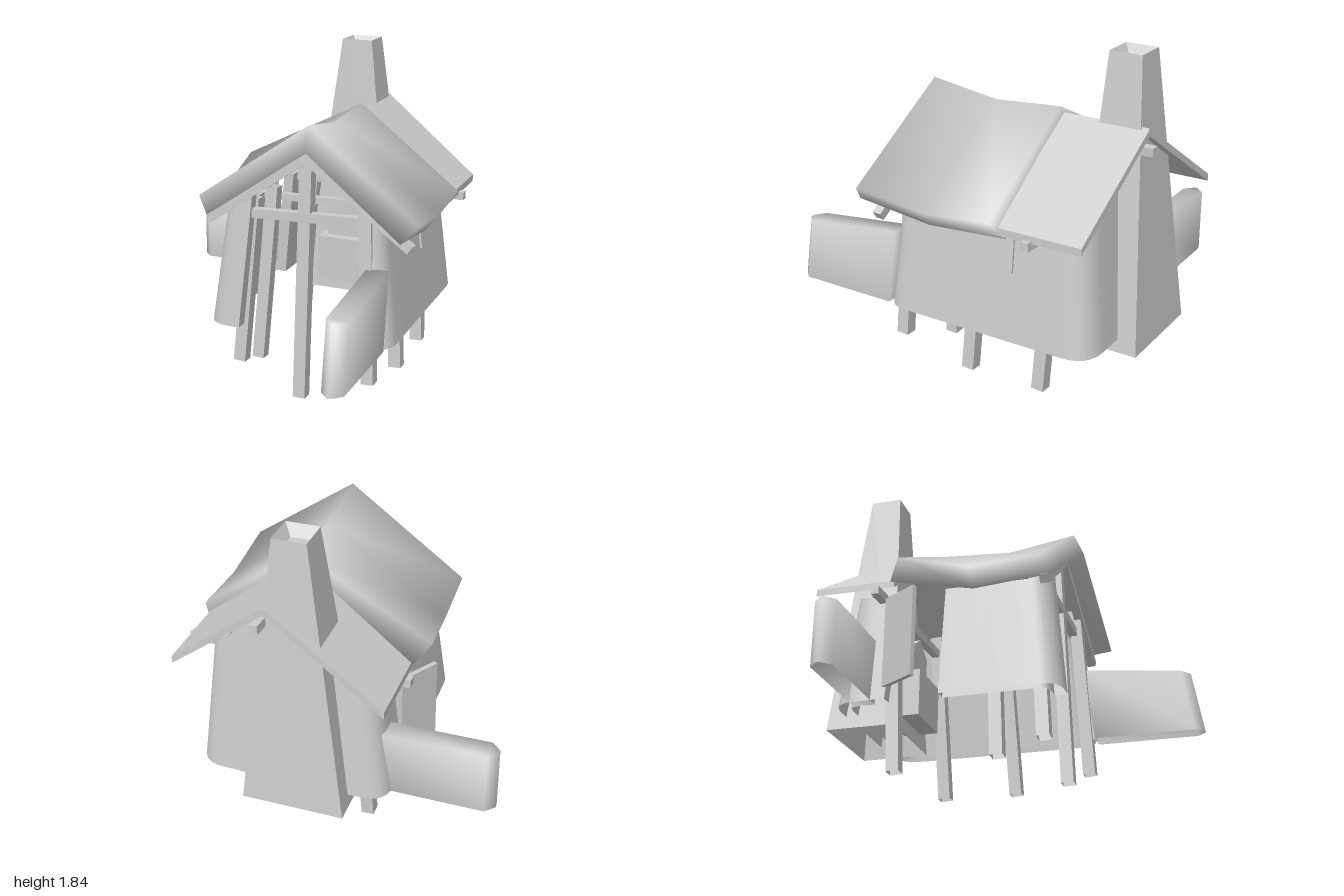
import * as THREE from 'three';
import { toCreasedNormals } from 'three/addons/utils/BufferGeometryUtils.js';

const material = new THREE.MeshStandardMaterial({ color: 0xcccccc, side: THREE.DoubleSide });

function addMesh(parent, name, geometry) {
  const mesh = new THREE.Mesh(geometry, material);
  mesh.name = name;
  parent.add(mesh);
  return mesh;
}

// Skins a row of equal rings (clockwise when looking along the row). An open ring leaves
// its last side, the underside, unskinned; caps close both ends of the row.
function loft(rings, { crease = 0.6, open = false, caps = true } = {}) {
  const n = rings[0].length, last = (rings.length - 1) * n, index = [];
  const quad = (a, b, c, d) => index.push(a, b, c, a, c, d);
  for (let i = 0; i < rings.length - 1; i++)
    for (let j = 0; j < (open ? n - 1 : n); j++) {
      const k = (j + 1) % n;
      quad(i * n + j, i * n + k, (i + 1) * n + k, (i + 1) * n + j);
    }
  if (caps)
    for (let j = 0; j < n / 2 - 1; j++) {
      quad(n - 1 - j, n - 2 - j, j + 1, j);
      quad(last + j, last + j + 1, last + n - 2 - j, last + n - 1 - j);
    }
  const g = new THREE.BufferGeometry();
  g.setAttribute('position', new THREE.Float32BufferAttribute(rings.flat(2), 3));
  g.setIndex(index);
  return toCreasedNormals(g, crease);
}

// Square timber between two points; stilts are open at the ends.
function beam(parent, name, a, b, w = 0.07, open = false) {
  const p = new THREE.Vector3(...a), q = new THREE.Vector3(...b);
  const dir = q.clone().sub(p), r = w * Math.SQRT1_2;
  const prism = new THREE.CylinderGeometry(r, r, dir.length(), 4, 1, open).rotateY(Math.PI / 4);
  const mesh = addMesh(parent, name, toCreasedNormals(prism, 0.5));
  mesh.position.copy(p).add(q).multiplyScalar(0.5);
  mesh.quaternion.setFromUnitVectors(new THREE.Vector3(0, 1, 0), dir.normalize());
}

// Wall that follows a ground path, leans inwards and stops under the roof slope.
function wall(path) {
  const cx = 0.2, cz = -0.25, thick = 0.07;
  const raise = (x, z, y) => {
    const k = y - 0.39;
    return [cx + (x - cx) * (1 - 0.22 * k), y, cz + (z - cz) * (1 - 0.15 * k)];
  };
  const pts = path.curves.flatMap((c, i) => c.getPoints(6).slice(i ? 1 : 0));
  return loft(pts.map((p, i) => {
    const f = pts[Math.min(i + 1, pts.length - 1)].clone().sub(pts[Math.max(i - 1, 0)]).normalize();
    const ix = p.x - f.y * thick, iz = p.y + f.x * thick;
    const top = 1.4 - 0.72 * Math.abs(cx + (p.x - cx) * 0.85 - 0.25);
    return [raise(p.x, p.y, 0.39), raise(p.x, p.y, top), raise(ix, iz, top), raise(ix, iz, 0.39)];
  }), { open: true });
}

// Low garden wall running towards +z, with a pointed sloping tip: [zBottom, zTop, yTop, halfWidth].
function lowWall(stations) {
  return loft(stations.map(([zb, zt, y, h]) =>
    [[-h, 0.39, zb], [-h, y, zt], [h, y, zt], [h, 0.39, zb]]), { crease: Math.PI, open: true });
}

export function createModel() {
  const house = new THREE.Group();
  house.name = 'house';

  // Walls: a long one around the back, a short one at the front left of the doorway
  const mainPath = new THREE.Path().moveTo(-0.34, -0.58).lineTo(-0.34, -0.74)
    .quadraticCurveTo(-0.34, -0.88, -0.2, -0.88).lineTo(0.57, -0.88)
    .quadraticCurveTo(0.73, -0.88, 0.73, -0.72).lineTo(0.73, 0.24)
    .quadraticCurveTo(0.73, 0.37, 0.6, 0.37);
  addMesh(house, 'mainWall', wall(mainPath));
  const sidePath = new THREE.Path().moveTo(-0.14, 0.37).lineTo(-0.2, 0.37)
    .quadraticCurveTo(-0.34, 0.37, -0.34, 0.23).lineTo(-0.34, -0.28);
  addMesh(house, 'frontSideWall', wall(sidePath));

  // Open door and window shutter
  const door = addMesh(house, 'door', new THREE.BoxGeometry(0.24, 0.52, 0.025));
  door.position.set(-0.39, 0.72, -0.49);
  door.rotation.y = Math.atan2(-0.85, -0.526);
  const shutter = addMesh(house, 'windowShutter', new THREE.BoxGeometry(0.06, 0.24, 0.14));
  shutter.position.set(0.655, 0.88, -0.35);
  shutter.rotation.z = 0.115;

  // Low walls
  const frontLow = addMesh(house, 'frontLowWall',
    lowWall([[1, 0.94, 0.75, 0.01], [0.95, 0.89, 0.755, 0.06], [0.37, 0.31, 0.82, 0.06]]));
  frontLow.position.x = 0.64;
  const sideLow = addMesh(house, 'sideLowWall',
    lowWall([[0.89, 0.89, 0.75, 0.01], [0.84, 0.84, 0.75, 0.06], [0.27, 0.27, 0.75, 0.06]]));
  sideLow.rotation.y = -Math.PI / 2;
  sideLow.position.z = -0.72;

  // Tapered chimney, open below, with a sunken flue
  const corners = [[0, 1], [0, 0], [1, 0], [1, 1], [0, 1]];
  const at = (x0, x1, z0, z1, y, [i, j]) => [i ? x1 : x0, y, j ? z1 : z0];
  addMesh(house, 'chimney', loft(corners.map(c => [
    at(-0.14, 0.42, -0.99, -0.6, 0.32, c),
    at(0.05, 0.23, -0.87, -0.69, 1.85, c),
    at(0.09, 0.19, -0.83, -0.73, 1.79, c),
    [0.14, 1.79, -0.78],
  ]), { crease: 0.3, open: true, caps: false }));

  // Hearth with a pointed hood
  const hearth = addMesh(house, 'hearth', new THREE.BoxGeometry(0.33, 0.27, 0.2));
  hearth.position.set(0.145, 0.545, -0.6);
  const hoodShape = new THREE.Shape([[0.02, 0.66], [0.26, 0.66], [0.26, 0.85], [0.14, 0.93], [0.02, 0.85]]
    .map(p => new THREE.Vector2(...p)));
  const hood = addMesh(house, 'hearthHood',
    new THREE.ExtrudeGeometry(hoodShape, { depth: 0.16, bevelEnabled: false }));
  hood.position.z = -0.72;

  // Thick sagging front roof, softly shaded: front, middle and back section
  addMesh(house, 'frontRoof', loft([
    [[-0.41, 1.1, 0.29], [0.26, 1.56, 0.345], [0.88, 1.11, 0.41],
      [0.8, 1.02, 0.45], [0.26, 1.43, 0.4], [-0.34, 1.01, 0.34]],
    [[-0.42, 1.07, -0.1], [0.26, 1.5, -0.05], [0.87, 1.06, 0],
      [0.8, 0.97, 0.01], [0.26, 1.38, -0.04], [-0.35, 0.97, -0.09]],
    [[-0.46, 1.16, -0.49], [0.265, 1.53, -0.44], [0.86, 1.09, -0.39],
      [0.8, 1, -0.45], [0.265, 1.43, -0.5], [-0.38, 1.06, -0.56]],
  ], { crease: Math.PI }));

  // Thin straight back roof
  const backRing = (zl, zr, zc) => {
    const top = [[-0.37, 1.07, zl], [0.26, 1.5, zc], [0.82, 1.06, zr]];
    return [...top, ...top.map(([x, y, z]) => [x, y - 0.04, z]).reverse()];
  };
  addMesh(house, 'backRoof', loft([backRing(-0.54, -0.38, -0.46), backRing(-1, -0.88, -0.94)]));

  // Leaning stilts and posts
  const posts = [
    [[0.61, 0.18, 0.33], [0.56, 1.15, 0.28]],
    [[0.2, 0.01, 0.29], [0.215, 1.38, 0.24]],
    [[-0.18, 0.15, 0.25], [-0.11, 1.1, 0.2]],
    [[-0.18, 0.07, 0.0], [-0.11, 1.1, -0.05]],
    [[0.62, 0.1, -0.11], [0.56, 1.12, -0.17]],
    [[0.61, 0.1, -0.54], [0.56, 1.12, -0.6]],
    [[-0.15, 0.04, -0.58], [-0.1, 1.1, -0.64]],
  ];
  for (const [a, b] of posts) beam(house, 'post', a, b, 0.07, true);

  // Roof timbers
  beam(house, 'frontTieBeam', [-0.19, 1.03, 0.265], [0.6, 1.055, 0.265], 0.05);
  beam(house, 'leftRafter', [-0.34, 0.985, 0.3], [0.24, 1.38, 0.28], 0.05);
  beam(house, 'rightRafter', [0.82, 0.955, 0.32], [0.2, 1.39, 0.28], 0.05);
  beam(house, 'middleTieBeam', [-0.2, 1.02, -0.13], [0.73, 1.02, -0.15], 0.04);
  beam(house, 'backTieBeam', [-0.4, 1.01, -0.64], [0.85, 1.01, -0.585], 0.045);
  beam(house, 'ridgeBeam', [0.21, 1.38, 0.3], [0.295, 1.4, -0.99], 0.045);

  return house;
}
